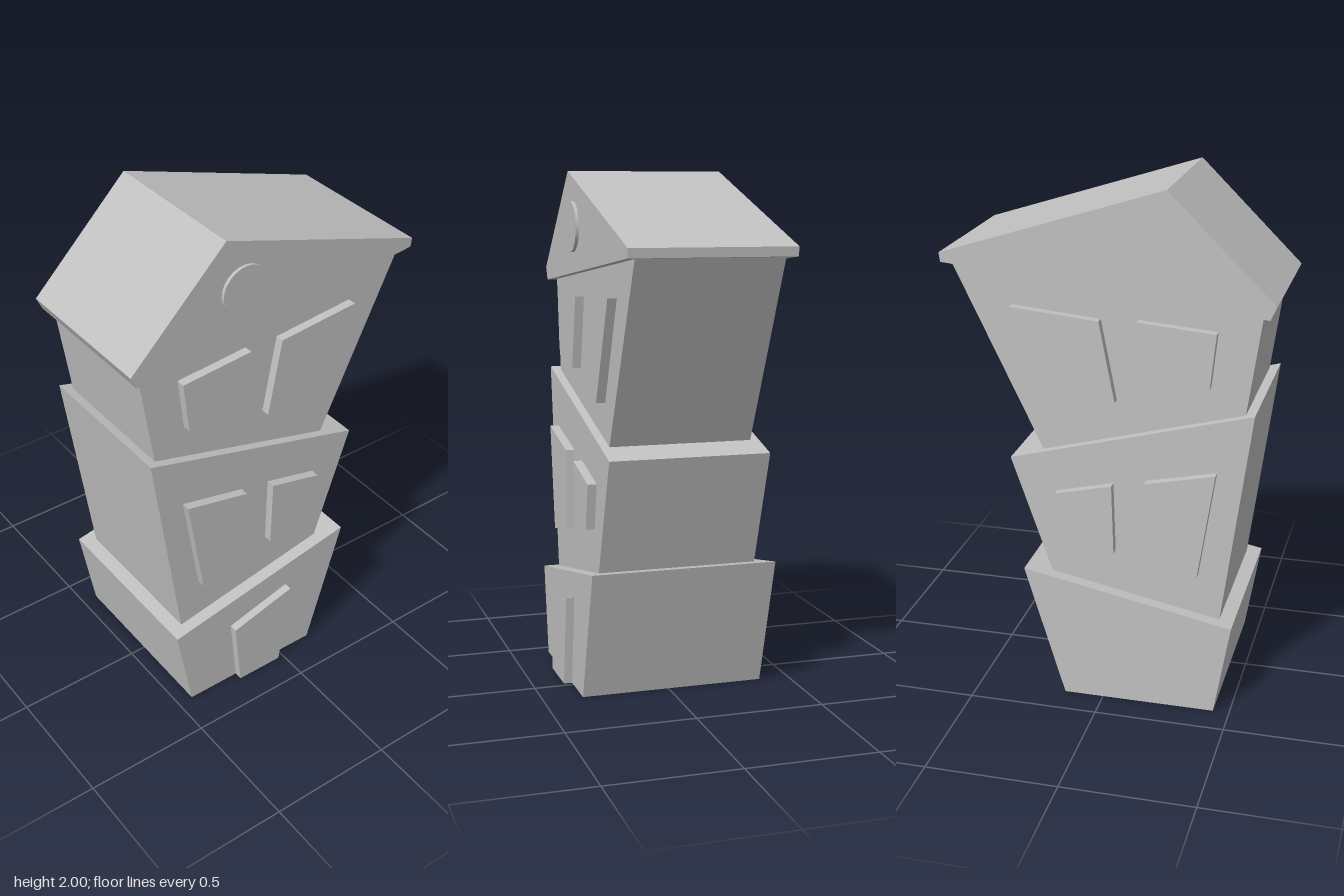
import * as THREE from 'three';

const grey = new THREE.MeshStandardMaterial({ color: 0xc0c0c0 });
grey.name = 'plain grey';

// Prism with a side profile of [z, y] points, spanning x0 to x1
function slab(name, x0, x1, profile) {
  const shape = new THREE.Shape(profile.map(([z, y]) => new THREE.Vector2(z, y)));
  const geometry = new THREE.ExtrudeGeometry(shape, { depth: x1 - x0, bevelEnabled: false });
  geometry.rotateY(-Math.PI / 2).translate(x1, 0, 0);
  const mesh = new THREE.Mesh(geometry, grey);
  mesh.name = name;
  return mesh;
}

export function createModel() {
  const house = new THREE.Group();
  house.name = 'crookedHouse';

  // Leaning storeys, each narrower than the one below
  house.add(
    slab('groundFloor', -0.38, 0.345, [[0.437, 0], [0.498, 0.36], [-0.31, 0.52], [-0.153, 0]]),
    slab('middleFloor', -0.33, 0.294, [[0.444, 0.368], [0.555, 1.2], [-0.368, 0.955], [-0.21, 0.498]]),
    slab('topFloor', -0.295, 0.26, [[0.516, 1.188], [0.57, 1.565], [-0.587, 1.693], [-0.247, 0.985]])
  );

  // Lopsided gable roof with thin angled eaves
  house.add(slab('roof', -0.33, 0.294,
    [[0.62, 1.61], [0.225, 2], [-0.62, 1.73], [-0.615, 1.695], [0.597, 1.56]]));

  // Window panels, repeated on both side walls
  const floors = [
    { left: 0.294, right: -0.33, windows: [
      [[0.423, 0.97], [0.156, 0.912], [0.152, 0.594], [0.36, 0.553]],
      [[0.032, 0.89], [-0.188, 0.838], [-0.153, 0.658], [0.04, 0.615]]] },
    { left: 0.26, right: -0.295, windows: [
      [[0.41, 1.495], [0.117, 1.519], [0.175, 1.235], [0.388, 1.288]],
      [[-0.022, 1.512], [-0.358, 1.544], [-0.19, 1.145], [0.037, 1.207]]] },
  ];
  for (const { left, right, windows } of floors) {
    for (const outline of windows) {
      house.add(slab('leftWindow', left, left + 0.035, outline));
      house.add(slab('rightWindow', right - 0.035, right, outline));
    }
  }

  // Door and round gable window on the left wall only
  house.add(slab('door', 0.345, 0.378, [[0.243, 0.286], [-0.029, 0.362], [0.022, 0], [0.218, 0]]));
  const round = new THREE.Mesh(new THREE.CylinderGeometry(0.098, 0.098, 0.03, 24), grey);
  round.name = 'roundWindow';
  round.rotation.z = -Math.PI / 2;
  round.position.set(0.292, 1.787, 0.148);
  house.add(round);

  return house;
}
